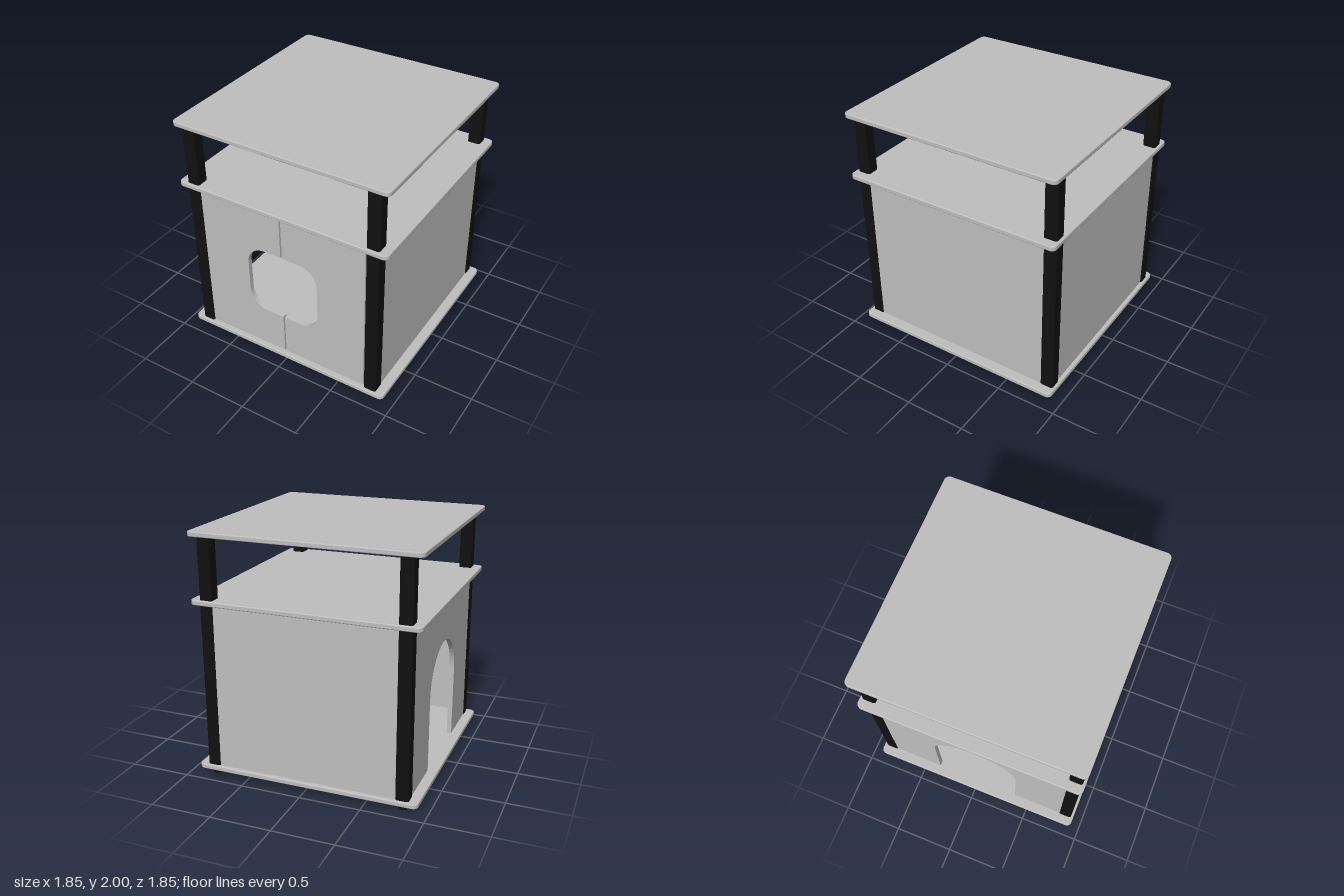
import * as THREE from 'three';

const grey = new THREE.MeshStandardMaterial({ color: 0xbfbfbf });
grey.name = 'grey board';
const black = new THREE.MeshStandardMaterial({ color: 0x111111 });
black.name = 'black plastic';

const FLOOR = 0.083, CEILING = 1.43, T = 0.04;

function add(group, name, geometry, material, x = 0, y = 0, z = 0) {
  const mesh = new THREE.Mesh(geometry, material);
  mesh.name = name;
  mesh.position.set(x, y, z);
  group.add(mesh);
  return mesh;
}

function roundedRect(w, d, r) {
  const s = new THREE.Shape(), a = w / 2, b = d / 2;
  s.absarc(a - r, b - r, r, 0, Math.PI / 2);
  s.absarc(-a + r, b - r, r, Math.PI / 2, Math.PI);
  s.absarc(-a + r, -b + r, r, Math.PI, Math.PI * 1.5);
  s.absarc(a - r, -b + r, r, Math.PI * 1.5, Math.PI * 2);
  s.closePath();
  return s;
}

// Upright slab with a rounded outline, standing on y = 0
function slab(w, d, h, r, bevel = 0) {
  const g = new THREE.ExtrudeGeometry(roundedRect(w - 2 * bevel, d - 2 * bevel, r), {
    depth: h - 2 * bevel, curveSegments: 8, bevelEnabled: bevel > 0,
    bevelSize: bevel, bevelThickness: bevel, bevelSegments: 3,
  });
  return g.rotateX(-Math.PI / 2).translate(0, bevel, 0);
}

// Half of the front: an upright panel with half of the rounded opening cut out
function doorShape(side) {
  const inner = 0.007, outer = 0.735, low = 0.096, high = 1.42;
  const hx = 0.318, y0 = 0.46, y1 = 1.06, r = 0.16;
  const s = new THREE.Shape();
  const p = (x, y) => s.lineTo(side * x, y);
  s.moveTo(side * inner, low);
  p(outer, low);
  p(outer, high);
  p(inner, high);
  p(inner, y1);
  for (let i = 0; i <= 12; i++) {
    const a = (Math.PI / 2) * (1 - i / 12);
    p(hx - r + r * Math.cos(a), y1 - r + r * Math.sin(a));
  }
  for (let i = 0; i <= 12; i++) {
    const a = -(Math.PI / 2) * (i / 12);
    p(hx - r + r * Math.cos(a), y0 + r + r * Math.sin(a));
  }
  p(inner, y0);
  s.closePath();
  return s;
}

// Side wall with an arched doorway open at the floor
function archWallShape() {
  const half = 0.795, r = 0.365, spring = 0.695;
  const s = new THREE.Shape();
  s.moveTo(-half, FLOOR);
  s.lineTo(-r, FLOOR);
  s.lineTo(-r, spring);
  s.absarc(0, spring, r, Math.PI, 0, true);
  s.lineTo(r, FLOOR);
  s.lineTo(half, FLOOR);
  s.lineTo(half, CEILING);
  s.lineTo(-half, CEILING);
  s.closePath();
  return s;
}

export function createModel() {
  const model = new THREE.Group();
  model.name = 'petHouseTable';

  // Three shelves
  const shelf = slab(1.845, 1.845, T, 0.035, 0.008);
  add(model, 'baseShelf', shelf, grey, 0, 0.044, 0);
  add(model, 'middleShelf', shelf, grey, 0, 1.43, 0);
  add(model, 'topShelf', shelf, grey, 0, 1.96, 0);

  // Corner posts and feet
  const lowerPost = slab(0.107, 0.11, CEILING - FLOOR, 0.018);
  const upperPost = slab(0.107, 0.11, 0.492, 0.018);
  const foot = new THREE.CylinderGeometry(0.04, 0.036, 0.046, 24);
  for (const sx of [-1, 1]) {
    for (const sz of [-1, 1]) {
      add(model, 'lowerPost', lowerPost, black, sx * 0.795, FLOOR, sz * 0.845);
      add(model, 'upperPost', upperPost, black, sx * 0.795, 1.469, sz * 0.845);
      add(model, 'foot', foot, black, sx * 0.795, 0.023, sz * 0.845);
    }
  }

  // Front doors sharing a rounded opening
  for (const side of [-1, 1]) {
    const door = new THREE.ExtrudeGeometry(doorShape(side), { depth: T, bevelEnabled: false });
    add(model, side > 0 ? 'leftDoor' : 'rightDoor', door, grey, 0, 0, 0.85);
  }

  // Back wall and plain side wall
  const h = CEILING - FLOOR, mid = (CEILING + FLOOR) / 2;
  add(model, 'backWall', new THREE.BoxGeometry(1.485, h, T), grey, 0, mid, -0.87);
  add(model, 'leftWall', new THREE.BoxGeometry(T, h, 1.59), grey, 0.822, mid, 0);

  // Side wall with the arched doorway
  const arch = new THREE.ExtrudeGeometry(archWallShape(), { depth: T, curveSegments: 32, bevelEnabled: false });
  add(model, 'archWall', arch, grey, -0.842, 0, 0).rotation.y = Math.PI / 2;

  return model;
}
